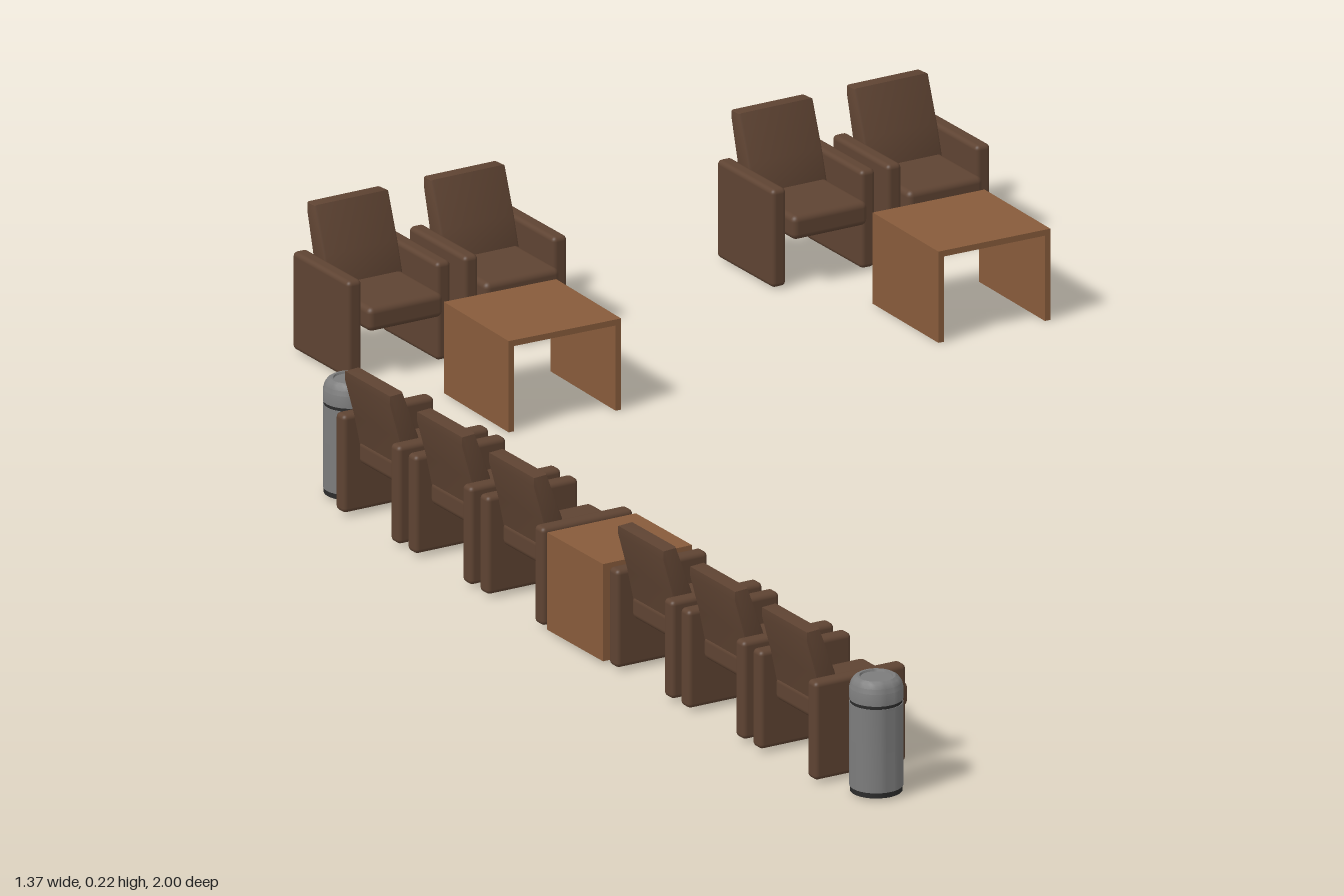
import * as THREE from 'three';
import { RoundedBoxGeometry } from 'three/addons/geometries/RoundedBoxGeometry.js';
import { toCreasedNormals } from 'three/addons/utils/BufferGeometryUtils.js';

const upholstery = new THREE.MeshStandardMaterial({ name: 'brown upholstery', color: 0x5e4332 });
const wood = new THREE.MeshStandardMaterial({ name: 'table wood', color: 0x875b3b });
const metal = new THREE.MeshStandardMaterial({ name: 'grey metal', color: 0x7c7c7c });
const seam = new THREE.MeshStandardMaterial({ name: 'dark seam', color: 0x2b2b2b });

function add(parent, name, geometry, material, x = 0, y = 0, z = 0) {
  const mesh = new THREE.Mesh(geometry, material);
  mesh.name = name;
  mesh.position.set(x, y, z);
  parent.add(mesh);
  return mesh;
}

// Reclined back: side profile (z, y) extruded across the chair
function backGeometry() {
  const b = 0.004, width = 0.124;
  const shape = new THREE.Shape([
    [-0.081, 0.214], [-0.065, 0.215], [-0.041, 0.15], [-0.026, 0.1],
    [-0.03, 0.083], [-0.052, 0.083], [-0.066, 0.15], [-0.081, 0.205],
  ].map(([z, y]) => new THREE.Vector2(-z, y)));
  const g = new THREE.ExtrudeGeometry(shape, {
    depth: width - 2 * b, bevelThickness: b, bevelSize: b, bevelSegments: 2,
  });
  g.translate(0, 0, b - width / 2);
  g.rotateY(Math.PI / 2);
  return toCreasedNormals(g, 0.6);
}

// Seat cushion, gently crowned across its width
function seatGeometry() {
  const g = new RoundedBoxGeometry(0.125, 0.036, 0.148, 3, 0.009);
  return g;
}

const armGeometry = new RoundedBoxGeometry(0.024, 0.148, 0.152, 3, 0.007);
const seatGeo = seatGeometry();
const backGeo = backGeometry();

// Armchair facing +z
function armchair(x, y, z, turn) {
  const chair = new THREE.Group();
  chair.name = 'armchair';
  for (const side of [-1, 1]) {
    add(chair, side > 0 ? 'leftArm' : 'rightArm', armGeometry, upholstery, side * 0.074, 0.074, -0.009);
  }
  add(chair, 'seat', seatGeo, upholstery, 0, 0.091, 0.012);
  add(chair, 'backrest', backGeo, upholstery);
  chair.position.set(x, y, z);
  chair.rotation.y = turn;
  return chair;
}

// Low table: top board on two side panels
function coffeeTable(x, z, turn) {
  const size = 0.184, t = 0.009, h = 0.138;
  const table = new THREE.Group();
  table.name = 'coffeeTable';
  add(table, 'tableTop', new THREE.BoxGeometry(size, t, size), wood, 0, h - t / 2, 0);
  for (const side of [-1, 1]) {
    add(table, 'sidePanel', new THREE.BoxGeometry(t, h - t, size), wood,
      side * (size - t) / 2, (h - t) / 2, 0);
  }
  table.position.set(x, 0, z);
  table.rotation.y = turn;
  return table;
}

function lathe(points) {
  const g = new THREE.LatheGeometry(points.map(([r, y]) => new THREE.Vector2(r, y)), 32);
  return toCreasedNormals(g, 0.5);
}

// Waste bin: body, dark seams and rounded lid
function wasteBin(x, z) {
  const bin = new THREE.Group();
  bin.name = 'wasteBin';
  const r = 0.0385;
  add(bin, 'base', lathe([[0, 0.004], [r - 0.001, 0.004], [r - 0.001, 0.012]]), seam);
  add(bin, 'body', lathe([[r - 0.002, 0.012], [r, 0.012], [r, 0.138], [r - 0.002, 0.138]]), metal);
  add(bin, 'lidSeam', lathe([[r - 0.001, 0.137], [r - 0.001, 0.144]]), seam);
  add(bin, 'lid', lathe([
    [r - 0.002, 0.143], [r, 0.143], [r, 0.161], [r - 0.002, 0.168],
    [r - 0.006, 0.174], [r - 0.011, 0.177], [0.024, 0.177], [0.023, 0.174], [0, 0.174],
  ]), metal);
  bin.position.set(x, 0, z);
  return bin;
}

export function createModel() {
  const model = new THREE.Group();
  model.name = 'waitingArea';

  // Side row facing +x, with a box table in the middle and a bin at each end
  for (const z of [-0.319, -0.125, 0.069, 0.418, 0.611, 0.805]) {
    model.add(armchair(-0.6, 0.005, z, Math.PI / 2));
  }
  add(model, 'boxTable', new THREE.BoxGeometry(0.148, 0.147, 0.151), wood, -0.61, 0.0775, 0.241);
  for (const z of [-0.458, 0.961]) model.add(wasteBin(-0.627, z));

  // Two pairs of chairs facing +z, each with a coffee table
  for (const x of [-0.305, -0.111, 0.402, 0.594]) model.add(armchair(x, 0.002, -0.912, 0));
  model.add(coffeeTable(-0.21, -0.641, -0.03));
  model.add(coffeeTable(0.498, -0.63, -0.022));
  return model;
}
